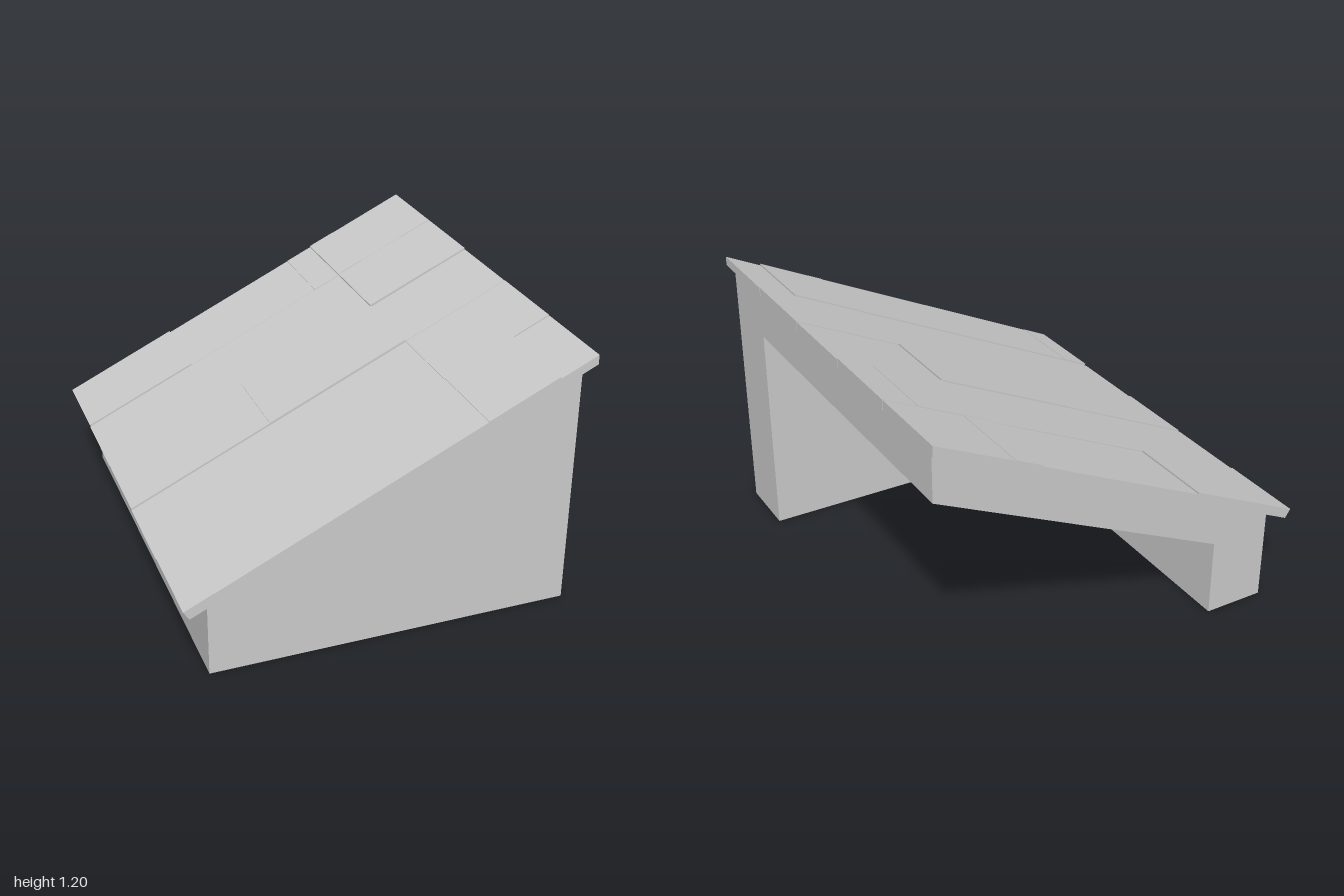
import * as THREE from 'three';

const material = new THREE.MeshStandardMaterial({ color: 0xcccccc, flatShading: true });

// Height of the sloping plane the boards rest on
const slope = (1.155 - 0.36) / (0.85 + 0.83);
const deckY = (x) => 0.36 + (x + 0.83) * slope;

// Extrude an x-y outline between two z positions
function slab(name, points, z0, z1) {
  const shape = new THREE.Shape(points.map(([x, y]) => new THREE.Vector2(x, y)));
  const geometry = new THREE.ExtrudeGeometry(shape, { depth: z1 - z0, bevelEnabled: false });
  geometry.translate(0, 0, z0);
  const mesh = new THREE.Mesh(geometry, material);
  mesh.name = name;
  return mesh;
}

export function createModel() {
  const model = new THREE.Group();
  model.name = 'leanToRoof';

  const left = -0.73, right = 0.85, inner = -0.46;

  // Solid front wall with a sloping top
  model.add(slab('frontWall', [
    [left, 0], [right, 0], [right, deckY(right)], [left, deckY(left)],
  ], 0.6, 0.89));

  // Low side wall joined to the thick sloping ceiling, open at the back and high side
  model.add(slab('sideWallAndCeiling', [
    [left, 0], [inner, 0], [inner, 0.345], [right, 0.96],
    [right, deckY(right)], [left, deckY(left)],
  ], -0.985, 0.6));

  // Roof boards, each broken into lengths with slightly uneven tops
  const boards = new THREE.Group();
  boards.name = 'roofBoards';
  const joints = [
    [-0.35, 0.27, 0.39, 0.51],
    [0.39, 0.7],
    [-0.23, 0.39],
    [0.39],
    [-0.73, 0.39, 0.69],
  ];
  const lifts = [0, -0.006, -0.002, -0.008, 0];
  joints.forEach((cuts, row) => {
    const z0 = -0.995 + row * 0.398;
    const ends = [-0.83, ...cuts, right];
    for (let i = 0; i < ends.length - 1; i++) {
      const a = ends[i], b = ends[i + 1];
      const thick = 0.049 + lifts[(row + i * 3) % lifts.length];
      // The low end is cut square to the slope, the others are upright
      const lean = i === 0 ? -0.024 : 0;
      boards.add(slab('roofBoard', [
        [a, deckY(a)], [b, deckY(b)], [b, deckY(b) + thick],
        [a + lean, deckY(a + lean) + thick],
      ], z0, z0 + 0.393 + (row === 4 ? 0.009 : 0)));
    }
  });
  model.add(boards);

  return model;
}
